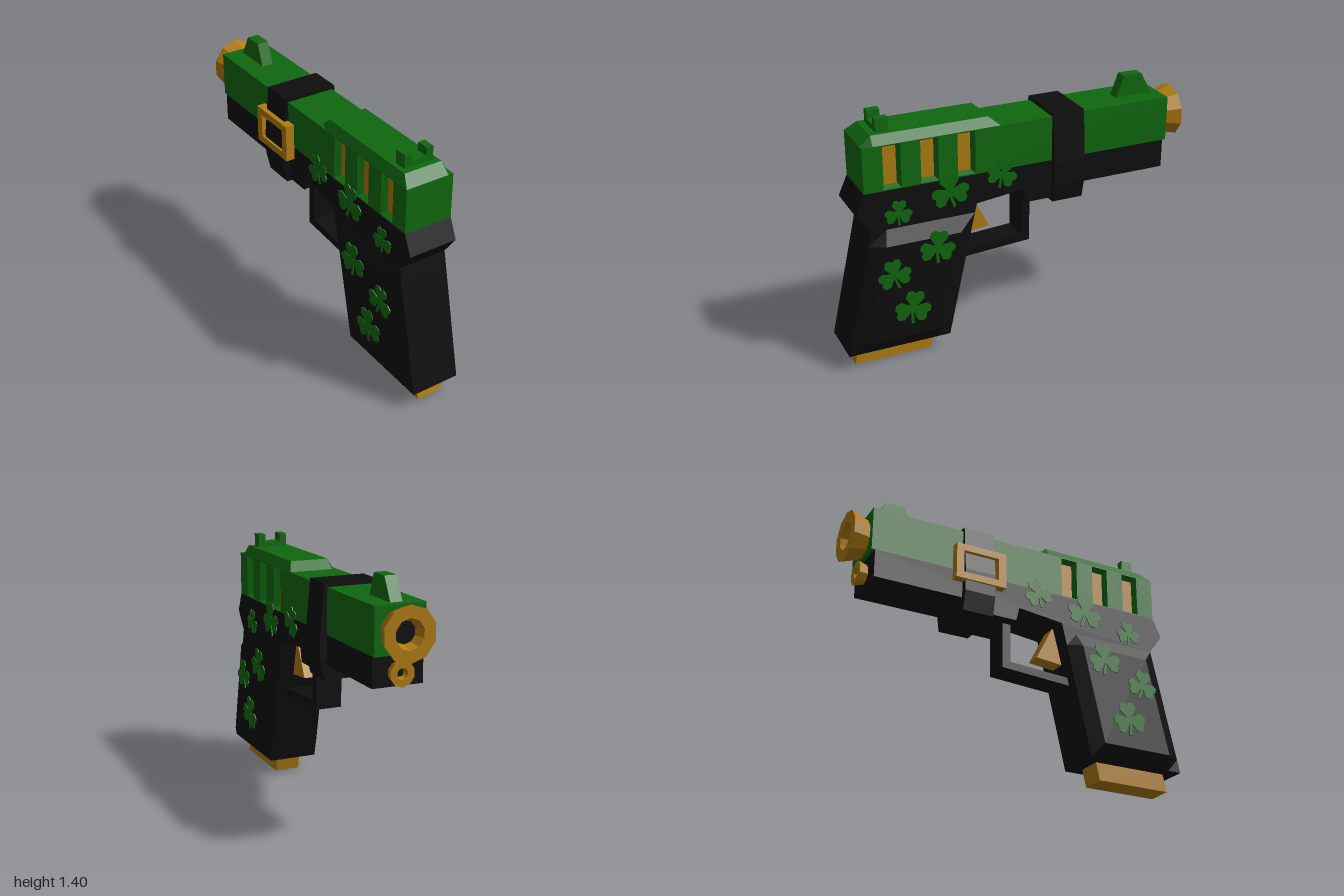
import * as THREE from 'three';

const mat = (name, color) => {
  const m = new THREE.MeshStandardMaterial({ color, side: THREE.DoubleSide });
  m.name = name;
  return m;
};

export function createModel() {
  const model = new THREE.Group();
  model.name = 'toyPistol';
  const green = mat('green', 0x10680f);
  const gold = mat('gold', 0xb07c12);
  const black = mat('black', 0x0e0e0e);

  const add = (name, geometry, material, x = 0, y = 0, z = 0) => {
    const mesh = new THREE.Mesh(geometry, material);
    mesh.name = name;
    mesh.position.set(x, y, z);
    model.add(mesh);
    return mesh;
  };
  const poly = (pts) => new THREE.Shape(pts.map(([a, b]) => new THREE.Vector2(a, b)));
  const rect = (z0, y0, z1, y1) => [[z0, y0], [z1, y0], [z1, y1], [z0, y1]];

  // Side profile in (z, y), extruded symmetrically across x
  const sideExtrude = (shape, width) =>
    new THREE.ExtrudeGeometry(shape, { depth: width, bevelEnabled: false })
      .translate(0, 0, -width / 2)
      .rotateY(-Math.PI / 2);

  // Flat-shaded skin through matching rings of [x, y, z] points
  const loft = (rings, capped = true) => {
    const tris = [];
    const n = rings[0].length;
    for (let r = 0; r < rings.length - 1; r++) {
      for (let i = 0; i < n; i++) {
        const j = (i + 1) % n;
        const [a, b, c, d] = [rings[r][i], rings[r][j], rings[r + 1][j], rings[r + 1][i]];
        tris.push(a, b, c, a, c, d);
      }
    }
    if (capped) {
      const first = rings[0], last = rings[rings.length - 1];
      for (let i = 1; i < n - 1; i++) {
        tris.push(first[0], first[i + 1], first[i], last[0], last[i], last[i + 1]);
      }
    }
    const g = new THREE.BufferGeometry();
    g.setAttribute('position', new THREE.Float32BufferAttribute(tris.flat(), 3));
    g.computeVertexNormals();
    return g;
  };

  // Slide: core, slotted side plates and raised chamfered roof
  const slots = [0.715, 0.51, 0.305];
  add('slideCore', new THREE.BoxGeometry(0.2, 0.25, 1.77), green, 0, 1.155, -0.015);
  const plate = poly(rect(-0.9, 1.03, 0.87, 1.28));
  for (const z of slots) plate.holes.push(poly(rect(z - 0.05, 1.035, z + 0.05, 1.275)));
  const plateGeo = sideExtrude(plate, 0.04);
  const roof = [[0.87, 1.2801], [0.81, 1.33], [0.17, 1.33], [0.11, 1.2801]].map(([z, y]) =>
    [[-0.11, y, z], [0.11, y, z], [0.14, 1.28, z], [-0.14, 1.28, z]]);
  add('slideRoof', loft(roof), green);

  // Tapered slots with gold inlays, both sides
  for (const s of [1, -1]) {
    add('slidePlate', plateGeo, green, s * 0.12);
    for (const z of slots) {
      const outer = rect(z - 0.05, 1.035, z + 0.05, 1.275).map(([a, b]) => [s * 0.14, b, a]);
      const inner = rect(z - 0.035, 1.05, z + 0.035, 1.258).map(([a, b]) => [s * 0.105, b, a]);
      add('slotWall', loft(s > 0 ? [inner, outer] : [outer, inner], false), green);
      add('slotInlay', new THREE.BoxGeometry(0.008, 0.22, 0.08), gold, s * 0.102, 1.154, z);
    }
  }

  // Sights
  add('frontSight', sideExtrude(poly([[-0.635, 1.28], [-0.855, 1.28], [-0.79, 1.4], [-0.68, 1.4]]), 0.066), green);
  add('rearSight', new THREE.ExtrudeGeometry(
    poly([[-0.085, 1.32], [0.085, 1.32], [0.085, 1.405], [0.045, 1.405], [0.045, 1.36],
      [-0.045, 1.36], [-0.045, 1.405], [-0.085, 1.405]]),
    { depth: 0.07, bevelEnabled: false }), green, 0, 0, 0.705);

  // Frame with rear tang and front rail
  add('frame', sideExtrude(poly([[0.87, 1.03], [0.92, 0.92], [0.84, 0.81], [0.262, 0.81], [0.25, 0.86],
    [-0.02, 0.89], [-0.04, 0.81], [-0.37, 0.81], [-0.37, 0.87], [-0.88, 0.87], [-0.88, 1.03]]), 0.28), black);

  // Grip: slanted octagonal sections [y, front z, back z, half width]
  const grip = [[0.1, 0.42, 1.0, 0.14], [0.175, 0.403, 0.983, 0.182], [0.73, 0.28, 0.858, 0.182], [0.81, 0.262, 0.84, 0.14]];
  add('grip', loft(grip.map(([y, f, b, w]) => [
    [-0.14, y, b], [0.14, y, b], [w, y, b - 0.08], [w, y, f + 0.08],
    [0.14, y, f], [-0.14, y, f], [-w, y, f + 0.08], [-w, y, b - 0.08],
  ])), black);
  add('magazineBase', sideExtrude(poly([[0.95, 0], [0.51, 0], [0.487, 0.11], [0.925, 0.11]]), 0.144), gold);

  // Trigger and guard
  add('trigger', sideExtrude(poly([[0.245, 0.87], [0.14, 0.665], [0.3, 0.65]]), 0.09), gold);
  add('triggerGuard', sideExtrude(poly([[-0.04, 0.82], [-0.09, 0.82], [-0.09, 0.545], [0.36, 0.517],
    [0.35, 0.563], [-0.04, 0.587]]), 0.15), black);

  // Strap around the barrel with a buckle on the right
  add('strap', new THREE.ExtrudeGeometry(
    poly([[-0.155, 0.79], [0.155, 0.79], [0.18, 0.9], [0.18, 1.03], [0.155, 1.3], [-0.155, 1.3], [-0.18, 1.03], [-0.18, 0.9]]),
    { depth: 0.18, bevelEnabled: false }), black, 0, 0, -0.37);
  const buckle = poly(rect(-0.43, 0.96, -0.13, 1.17));
  buckle.holes.push(poly(rect(-0.385, 1.0, -0.175, 1.13)));
  add('buckle', sideExtrude(buckle, 0.05), gold, -0.168);

  // Flared muzzle and guide rod, turned round the barrel axis
  const turned = (pts) => new THREE.LatheGeometry(pts.map(([r, h]) => new THREE.Vector2(r, h)), 10)
    .rotateX(-Math.PI / 2).toNonIndexed();
  const addTurned = (name, pts, y, z, boreR, boreH) => {
    const g = turned(pts);
    g.computeVertexNormals();
    add(name, g, gold, 0, y, z);
    add(name + 'Bore', new THREE.CircleGeometry(boreR, 10).rotateY(Math.PI), black, 0, y, z - boreH);
  };
  addTurned('muzzle', [[0.11, 0], [0.145, 0.1], [0.08, 0.1], [0.06, 0.04]], 1.15, -0.9, 0.065, 0.04);
  addTurned('guideRod', [[0.055, 0], [0.068, 0.05], [0.03, 0.05], [0.02, 0.02]], 0.942, -0.88, 0.025, 0.02);

  // Clovers: three notched leaves and a stem
  const leaf = [[-54, 0.2], [-42, 0.78], [-27, 1], [-12, 1], [0, 0.85], [12, 1], [27, 1], [42, 0.78], [54, 0.2]];
  const outline = [];
  for (const a of [-20, 90, 200]) {
    for (const [da, r] of leaf) {
      const t = THREE.MathUtils.degToRad(a + da);
      outline.push([r * Math.cos(t), r * Math.sin(t)]);
    }
  }
  outline.push([-0.08, -0.3], [-0.22, -0.88], [-0.06, -0.92], [0.08, -0.3]);
  // [z, y, size, tilt]
  const clovers = [[0.69, 0.89, 0.075, 0.1], [0.4, 0.96, 0.105, -0.1], [0.1, 1.005, 0.088, 0.4],
    [0.495, 0.67, 0.1, 0.15], [0.74, 0.56, 0.092, -0.15], [0.645, 0.34, 0.103, 0.2]];
  for (const s of [1, -1]) {
    for (const [z, y, size, tilt] of clovers) {
      const c = Math.cos(tilt) * size, d = Math.sin(tilt) * size;
      const shape = poly(outline.map(([a, b]) => [a * c - b * d, a * d + b * c]));
      add('clover', sideExtrude(shape, 0.006), green, s * (y > 0.8 ? 0.142 : 0.184), y, z);
    }
  }
  return model;
}
